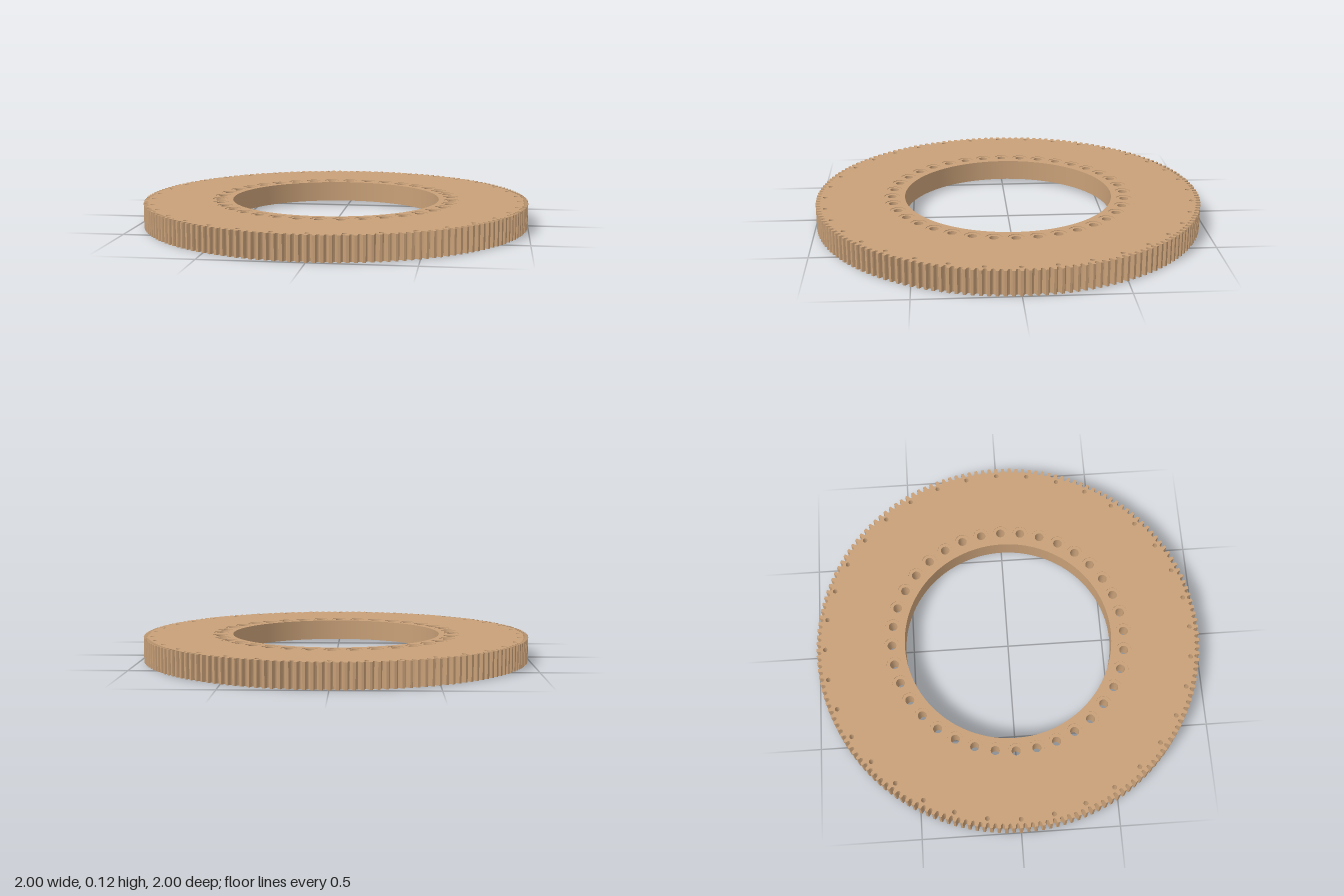
import * as THREE from 'three';
import { toCreasedNormals } from 'three/addons/utils/BufferGeometryUtils.js';

const H = 0.125;                 // thickness
const RECESS = 0.018;            // depth of the step underneath
const SINK = 0.003;              // shallow spot face around the bolt holes
const R_BORE = 0.54, R_RECESS = 0.668;
const BOLT = { ring: 0.607, r: 0.023, sink: 0.04, seg: 32 };
const PIN = { ring: 0.955, r: 0.012, seg: 16 };
const HOLES = 36, TEETH = 168;

export function createModel() {
  const group = new THREE.Group();
  const material = new THREE.MeshStandardMaterial({ color: 0xc8a078 });

  const add = (name, geometry, parent = group) => {
    const mesh = new THREE.Mesh(geometry, material);
    mesh.name = name;
    parent.add(mesh);
    return mesh;
  };

  // Closed loop of points on a circle
  const circle = (r, seg, cx = 0, cy = 0) => Array.from({ length: seg }, (_, i) => {
    const a = (i / seg) * Math.PI * 2;
    return new THREE.Vector2(cx + r * Math.cos(a), cy + r * Math.sin(a));
  });

  // Centres of a ring of holes
  const ringCentres = (ring) => circle(ring, HOLES);
  const holeLoops = (ring, r, seg) => ringCentres(ring).map((c) => circle(r, seg, c.x, c.y));

  // Flat horizontal face with holes, looking up or down
  const face = (outline, holes, y, up) => {
    const shape = new THREE.Shape(outline);
    shape.holes = holes.map((loop) => new THREE.Path(loop));
    return new THREE.ShapeGeometry(shape).rotateX(up ? -Math.PI / 2 : Math.PI / 2).translate(0, y, 0);
  };

  // Round wall facing its own axis
  const innerWall = (r, y0, y1, seg) =>
    new THREE.LatheGeometry([new THREE.Vector2(r, y1), new THREE.Vector2(r, y0)], seg);

  // Toothed outline: flat lands with rounded grooves between them
  const outline = [];
  const pitch = (Math.PI * 2) / TEETH;
  for (let i = 0; i < TEETH; i++) {
    const point = (t, r) => {
      const a = (i + t) * pitch;
      outline.push(new THREE.Vector2(r * Math.cos(a), r * Math.sin(a)));
    };
    point(-0.16, 1);
    point(0.16, 1);
    point(0.22, 0.997);
    for (let k = 0; k <= 6; k++) {
      const a = (k / 6) * Math.PI;
      point(0.5 - 0.26 * Math.cos(a), 0.989 - 0.014 * Math.sin(a));
    }
    point(0.78, 0.997);
  }

  // Outer toothed wall
  const positions = [], indices = [];
  outline.forEach((p, i) => {
    positions.push(p.x, 0, -p.y, p.x, H, -p.y);
    const a = 2 * i, b = 2 * ((i + 1) % outline.length);
    indices.push(a, b, b + 1, a, b + 1, a + 1);
  });
  const rim = new THREE.BufferGeometry();
  rim.setAttribute('position', new THREE.Float32BufferAttribute(positions, 3));
  rim.setIndex(indices);
  add('toothedRim', toCreasedNormals(rim, 0.6));

  // Top and bottom faces
  const bore = circle(R_BORE, 128);
  const step = circle(R_RECESS, 128);
  const pins = holeLoops(PIN.ring, PIN.r, PIN.seg);
  add('topFace', face(outline, [bore, ...holeLoops(BOLT.ring, BOLT.sink, BOLT.seg), ...pins], H, true));
  add('bottomFace', face(outline, [step, ...pins], 0, false));
  add('recessFace', face(step, [bore, ...holeLoops(BOLT.ring, BOLT.r, BOLT.seg)], RECESS, false));

  // Central bore and step wall
  add('centreBore', innerWall(R_BORE, RECESS, H, 128));
  add('recessWall', innerWall(R_RECESS, 0, RECESS, 128));

  // Bolt holes with spot faces, and small rim holes
  const boltWall = innerWall(BOLT.r, RECESS, H - SINK, BOLT.seg);
  const sinkWall = innerWall(BOLT.sink, H - SINK, H, BOLT.seg);
  const sinkFace = face(circle(BOLT.sink, BOLT.seg), [circle(BOLT.r, BOLT.seg)], H - SINK, true);
  const pinWall = innerWall(PIN.r, 0, H, PIN.seg);
  ringCentres(BOLT.ring).forEach((c) => {
    const hole = new THREE.Group();
    hole.name = 'boltHole';
    hole.position.set(c.x, 0, c.y);
    add('boltHoleWall', boltWall, hole);
    add('spotFaceWall', sinkWall, hole);
    add('spotFace', sinkFace, hole);
    group.add(hole);
  });
  ringCentres(PIN.ring).forEach((c) => add('rimHole', pinWall).position.set(c.x, 0, c.y));

  return group;
}
